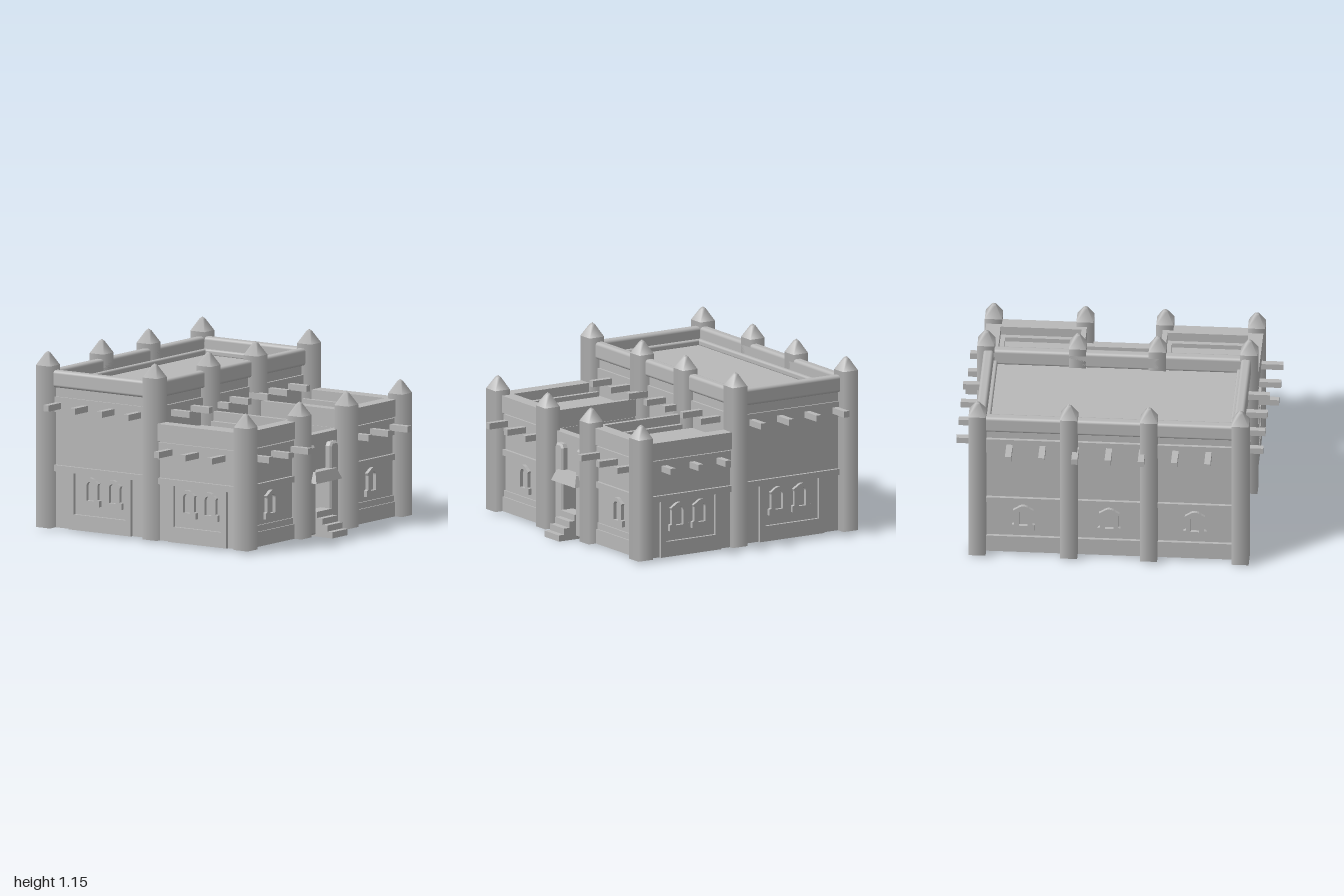
import * as THREE from 'three';
import { RoundedBoxGeometry } from 'three/addons/geometries/RoundedBoxGeometry.js';

export function createModel() {
  const clay = new THREE.MeshStandardMaterial({ color: 0xb8b8b8 });
  clay.name = 'plain clay grey';
  const model = new THREE.Group();
  model.name = 'adobeFort';
  const body = new THREE.Group();
  body.name = 'building';
  body.position.x = 0.02; // the walls are symmetric about this line
  model.add(body);

  function add(name, geometry, parent = body) {
    const mesh = new THREE.Mesh(geometry, clay);
    mesh.name = name;
    parent.add(mesh);
    return mesh;
  }
  // Box from two opposite corners, in any order
  function box(name, x0, x1, y0, y1, z0, z1, radius = 0) {
    const w = Math.abs(x1 - x0), h = Math.abs(y1 - y0), d = Math.abs(z1 - z0);
    const g = radius ? new RoundedBoxGeometry(w, h, d, 3, radius) : new THREE.BoxGeometry(w, h, d);
    const mesh = add(name, g);
    mesh.position.set((x0 + x1) / 2, (y0 + y1) / 2, (z0 + z1) / 2);
    return mesh;
  }

  // Square posts with softened shading and pointed caps
  function post(x, z, top) {
    const g = new THREE.Group();
    g.name = 'cornerPost';
    g.position.set(x, 0, z);
    const r = 0.055 * Math.SQRT2, base = 0.015, shoulder = top - 0.09;
    const prism = (name, rTop, rBottom, y0, y1) => {
      const m = add(name, new THREE.CylinderGeometry(rTop, rBottom, y1 - y0, 4, 1, false, Math.PI / 4), g);
      m.position.y = (y0 + y1) / 2;
    };
    prism('postShaft', r, r, base, shoulder);
    prism('postCap', 0.018, r, shoulder, top - 0.012);
    prism('postTip', 0, 0.018, top - 0.012, top);
    body.add(g);
  }
  for (const x of [-0.84, -0.255, 0.255, 0.84]) {
    post(x, -0.78, 1.15);
    post(x, 0.06, 1.15);
    post(x, 0.775, 0.895);
  }

  // Arched window surround with a sill
  function windowFrame(x, y, z, turn) {
    const s = new THREE.Shape();
    s.moveTo(-0.073, 0);
    s.lineTo(0.073, 0);
    s.lineTo(0.073, 0.04);
    s.lineTo(0.058, 0.045);
    s.lineTo(0.058, 0.135);
    s.lineTo(0.065, 0.15);
    s.lineTo(0.04, 0.165);
    s.quadraticCurveTo(0, 0.2, -0.04, 0.165);
    s.lineTo(-0.065, 0.15);
    s.lineTo(-0.058, 0.135);
    s.lineTo(-0.058, 0.045);
    s.lineTo(-0.073, 0.04);
    const hole = new THREE.Path();
    hole.moveTo(-0.027, 0.035);
    hole.lineTo(-0.027, 0.13);
    hole.absarc(0, 0.13, 0.027, Math.PI, 0, true);
    hole.lineTo(0.027, 0.035);
    s.holes.push(hole);
    const frame = add('windowFrame', new THREE.ExtrudeGeometry(s, { depth: 0.025, bevelEnabled: false, curveSegments: 6 }));
    frame.position.set(x, y, z);
    frame.rotation.y = turn;
  }

  // Main hall: walls, roof, band and rounded parapet rails
  box('hallWalls', -0.83, 0.83, 0.015, 0.92, -0.755, 0.04);
  box('hallBand', -0.842, 0.842, 0.76, 0.86, -0.775, 0.055);
  for (const s of [-1, 1]) {
    box('hallSideRail', s * 0.855, s * 0.79, 0.92, 1.03, -0.77, 0.05, 0.02);
    box('hallSideLedge', s * 0.8, s * 0.765, 0.915, 0.955, -0.75, 0.03, 0.012);
  }
  box('hallBackRail', -0.84, 0.84, 0.92, 1.03, -0.79, -0.725, 0.02);
  box('hallFrontRail', -0.84, 0.84, 0.92, 1.03, 0.005, 0.07, 0.02);
  box('hallBackLedge', -0.79, 0.79, 0.915, 0.955, -0.735, -0.7, 0.012);

  // Rear facade trim and windows
  box('rearPlinth', -0.83, 0.83, 0.015, 0.13, -0.775, -0.75);
  box('rearTrim', -0.83, 0.83, 0.385, 0.42, -0.775, -0.75);
  for (const x of [-0.548, 0, 0.548]) windowFrame(x, 0.18, -0.753, Math.PI);

  // Hall roof beams
  for (let i = -3; i <= 3; i++) {
    const x = i * 0.212;
    box('hallFrontBeam', x - 0.02, x + 0.02, 0.785, 0.825, 0, 0.2);
    box('hallBackBeam', x - 0.02, x + 0.02, 0.785, 0.825, -0.92, -0.7);
  }

  // Everything that mirrors left and right
  for (const s of [-1, 1]) {
    // Wing walls, band, parapet and roof ledges
    box('wingWalls', s * 0.25, s * 0.86, 0.015, 0.68, 0.045, 0.755);
    box('wingBand', s * 0.245, s * 0.875, 0.54, 0.65, 0.05, 0.77);
    box('wingOuterRail', s * 0.885, s * 0.79, 0.66, 0.77, 0.06, 0.78);
    box('wingInnerRail', s * 0.242, s * 0.275, 0.66, 0.77, 0.06, 0.78);
    box('wingFrontRail', s * 0.275, s * 0.79, 0.66, 0.77, 0.69, 0.78);
    box('wingOuterLedge', s * 0.79, s * 0.76, 0.66, 0.71, 0.06, 0.69);
    box('wingInnerLedge', s * 0.275, s * 0.305, 0.66, 0.71, 0.06, 0.69);
    box('wingFrontLedge', s * 0.305, s * 0.76, 0.66, 0.71, 0.66, 0.69);

    // Wing front trim and window
    box('wingFrontPlinth', s * 0.25, s * 0.86, 0.015, 0.11, 0.75, 0.775);
    box('wingFrontPlinthStep', s * 0.25, s * 0.86, 0.11, 0.15, 0.75, 0.765);
    box('wingFrontTrim', s * 0.25, s * 0.86, 0.38, 0.42, 0.75, 0.775);
    windowFrame(s * 0.548, 0.18, 0.753, 0);
    for (const x of [0.327, 0.54, 0.752]) {
      box('wingFrontBeam', s * (x - 0.02), s * (x + 0.02), 0.575, 0.615, 0.7, 0.91);
    }

    // Side facades: framed panel with a pair of windows
    const sides = [
      { wall: 0.86, z0: 0.05, z1: 0.755, posts: [0.215, 0.63], windows: [0.34, 0.51] },
      { wall: 0.83, z0: -0.755, z1: 0.04, posts: [-0.59, -0.142], windows: [-0.44, -0.265] },
    ];
    for (const f of sides) {
      const inX = s * (f.wall - 0.01), outX = s * (f.wall + 0.02);
      box('sideTrim', inX, outX, 0.38, 0.42, f.z0, f.z1);
      box('sidePlinth', inX, outX, 0.015, 0.115, f.posts[0], f.posts[1]);
      for (const z of f.posts) box('panelPost', inX, outX, 0.015, 0.385, z - 0.02, z + 0.02);
      for (const z of f.windows) windowFrame(s * (f.wall - 0.002), 0.18, z, s * Math.PI / 2);
    }

    // Side roof beams
    for (const z of [-0.695, -0.485, -0.275, -0.065]) {
      box('hallSideBeam', s * 0.75, s * 0.98, 0.785, 0.825, z - 0.02, z + 0.02);
    }
    for (const z of [0.205, 0.412, 0.622]) {
      box('wingSideBeam', s * 0.8, s * (s < 0 ? 1.02 : 0.98), 0.575, 0.615, z - 0.02, z + 0.02);
    }

    // Gate wall beside the doorway, and a chamfered column
    box('gateWall', s * 0.08, s * 0.25, 0.015, 0.65, 0.68, 0.74);
    const shape = new THREE.Shape([
      [-0.045, 0], [0.045, 0], [0.045, 0.55], [0.03, 0.575], [-0.03, 0.575], [-0.045, 0.55],
    ].map(([x, y]) => new THREE.Vector2(x, y)));
    const column = add('gateColumn', new THREE.ExtrudeGeometry(shape, {
      depth: 0.03, bevelThickness: 0.012, bevelSize: 0.012, bevelOffset: -0.012, bevelSegments: 1,
    }));
    column.position.set(s * 0.122, 0.012, 0.74);
  }

  // Gate lintel
  box('gateLintel', -0.08, 0.08, 0.36, 0.65, 0.68, 0.74);

  // Sloped door canopy: narrower along the upper edge
  const canopy = box('doorCanopy', -0.14, 0.14, 0.35, 0.42, 0.735, 0.825);
  const p = canopy.geometry.attributes.position;
  for (let i = 0; i < p.count; i++) {
    if (p.getY(i) > 0) {
      p.setX(i, p.getX(i) * 0.82);
      if (p.getZ(i) > 0) p.setZ(i, p.getZ(i) - 0.025);
    }
  }
  canopy.geometry.computeVertexNormals();

  // Entrance steps
  [0.91, 0.87, 0.83, 0.79].forEach((z, i) => {
    box('entranceStep', -0.083, 0.083, i * 0.04, (i + 1) * 0.04, 0.7, z);
  });
  return model;
}
